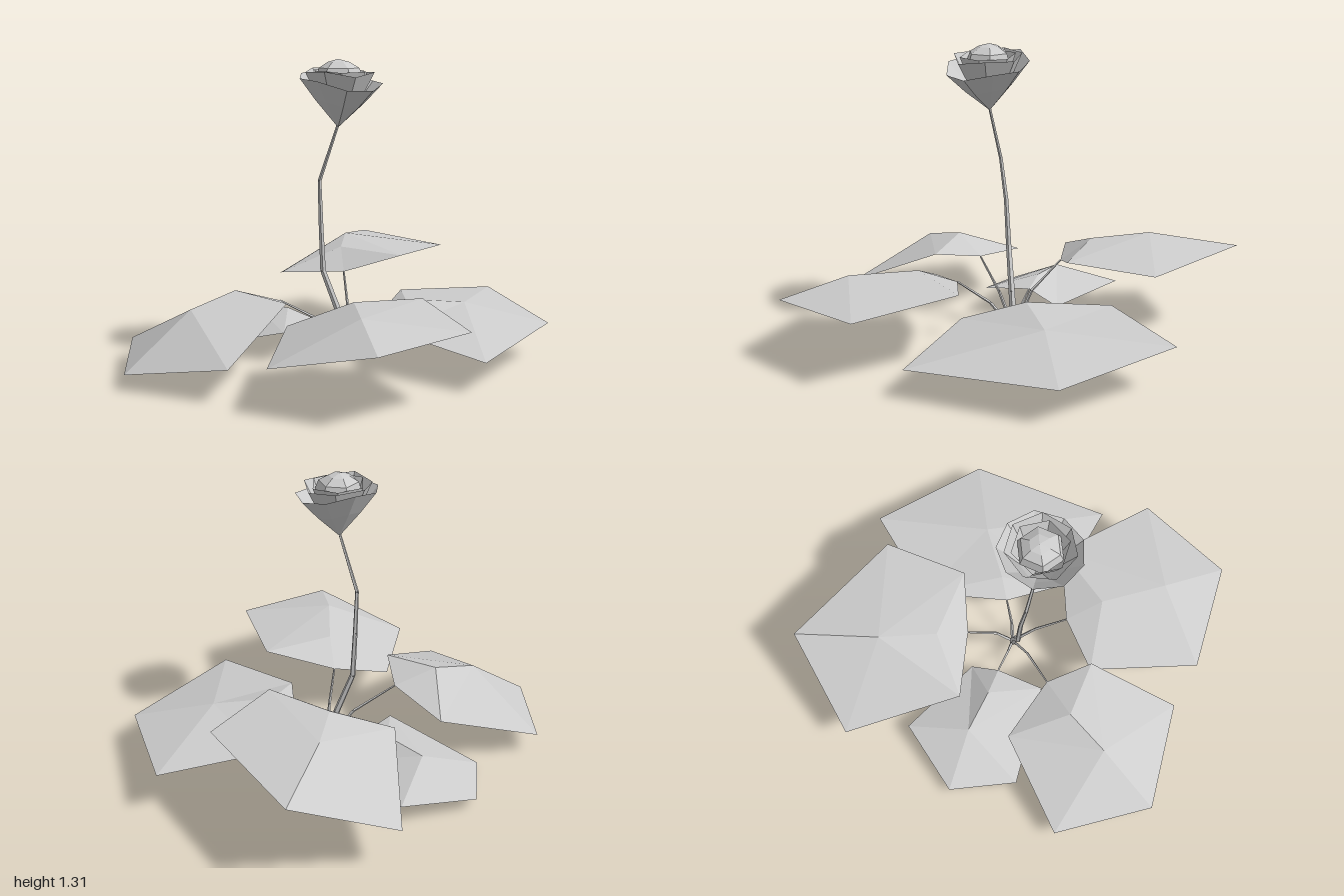
import * as THREE from 'three';

const grey = new THREE.MeshStandardMaterial({ color: 0xcccccc, flatShading: true, side: THREE.DoubleSide });
grey.name = 'plantGrey';

const v = (p) => new THREE.Vector3(...p);

function addMesh(parent, name, geometry) {
  const mesh = new THREE.Mesh(geometry, grey);
  mesh.name = name;
  parent.add(mesh);
  return mesh;
}

// Faceted leaf: outline is clockwise from above [tip, side, shoulder, stalk, shoulder, side];
// two ridge points (outer, inner) raise the middle.
const LEAF_FACES = [[6, 1, 0], [6, 2, 1], [6, 7, 2], [7, 3, 2], [7, 4, 3], [6, 4, 7], [6, 5, 4], [6, 0, 5]];
function leafGeometry(points) {
  const g = new THREE.BufferGeometry();
  g.setAttribute('position', new THREE.Float32BufferAttribute(LEAF_FACES.flat().flatMap((i) => points[i]), 3));
  g.computeVertexNormals();
  return g;
}

// Straight-segment stem with tapering radius
function addStem(parent, name, points, r0, r1, sides) {
  const stem = new THREE.Group();
  stem.name = name;
  parent.add(stem);
  const n = points.length - 1;
  for (let i = 0; i < n; i++) {
    const a = v(points[i]), b = v(points[i + 1]);
    const dir = b.clone().sub(a);
    const ra = r0 + (r1 - r0) * i / n, rb = r0 + (r1 - r0) * (i + 1) / n;
    const seg = addMesh(stem, name + 'Segment', new THREE.CylinderGeometry(rb, ra, dir.length(), sides, 1, true));
    seg.position.copy(a).add(b).multiplyScalar(0.5);
    seg.quaternion.setFromUnitVectors(new THREE.Vector3(0, 1, 0), dir.normalize());
  }
}

const LEAVES = {
  backLeaf: [[0.07, 0.40, -1.0], [0.45, 0.41, -0.54], [0.26, 0.42, -0.205], [0, 0.34, -0.22],
    [-0.29, 0.32, -0.29], [-0.36, 0.20, -0.825], [-0.01, 0.45, -0.62], [-0.02, 0.43, -0.36]],
  leftLeaf: [[0.91, 0.15, -0.07], [0.60, 0.125, 0.505], [0.23, 0.18, 0.24], [0.18, 0.21, -0.02],
    [0.26, 0.22, -0.40], [0.68, 0.20, -0.58], [0.54, 0.24, -0.07], [0.28, 0.26, -0.03]],
  frontLeaf: [[0.18, 0.28, 1.0], [-0.24, 0.18, 0.82], [-0.21, 0.22, 0.32], [0.03, 0.27, 0.24],
    [0.35, 0.33, 0.26], [0.53, 0.30, 0.70], [0.11, 0.35, 0.71], [0.07, 0.345, 0.41]],
  rightFrontLeaf: [[-0.85, 0.06, 0.52], [-0.915, 0.095, 0.06], [-0.48, 0.235, -0.095], [-0.26, 0.28, 0.11],
    [-0.21, 0.315, 0.32], [-0.405, 0.135, 0.69], [-0.61, 0.285, 0.32], [-0.44, 0.34, 0.19]],
  rightBackLeaf: [[-0.65, 0.05, -0.39], [-0.34, 0.10, -0.545], [-0.085, 0.085, -0.22], [-0.14, 0.155, -0.10],
    [-0.245, 0.13, 0.09], [-0.65, 0.02, -0.08], [-0.41, 0.17, -0.27], [-0.25, 0.185, -0.16]],
};

export function createModel() {
  const model = new THREE.Group();
  model.name = 'floweringPlant';

  // Leaves, each on a thin bent stalk from the foot of the stem
  for (const [name, points] of Object.entries(LEAVES)) {
    const leaf = new THREE.Group();
    leaf.name = name;
    addMesh(leaf, 'leafBlade', leafGeometry(points));
    const s = points[3];
    const bend = [0.04 + (s[0] - 0.04) * 0.4, s[1] * 0.62, s[2] * 0.4];
    addStem(leaf, 'leafStalk', [[0.037, 0.03, -0.01], bend, s], 0.009, 0.004, 4);
    model.add(leaf);
  }

  // Main stem
  addStem(model, 'stem', [[0.042, 0, -0.01], [-0.01, 0.2, -0.005], [-0.08, 0.39, 0],
    [-0.088, 0.6, 0.01], [-0.092, 0.79, 0.033], [-0.01, 1.035, 0.09]], 0.017, 0.006, 5);

  // Flower: nested cups around a closed bud, rims tilted and slightly uneven
  const flower = new THREE.Group();
  flower.name = 'flower';
  flower.position.set(-0.01, 1.03, 0.09);
  model.add(flower);
  const cup = (name, profile, sides, turn, lean, wave) => {
    const g = new THREE.LatheGeometry(profile.map((p) => new THREE.Vector2(...p)), sides, turn);
    const p = g.attributes.position;
    for (let i = 0; i < p.count; i++) {
      const x = p.getX(i), z = p.getZ(i), r = Math.hypot(x, z);
      const ripple = r * wave * Math.cos(3 * Math.atan2(z, x));
      p.setXYZ(i, x + r * 0.06, p.getY(i) - lean * (x + z) + ripple, z + r * 0.06);
    }
    g.computeVertexNormals();
    addMesh(flower, name, g);
  };
  cup('outerPetals', [[0.006, 0], [0.105, 0.105], [0.178, 0.193]], 9, 0.2, 0.14, 0.06);
  cup('middlePetals', [[0.006, 0.01], [0.09, 0.11], [0.148, 0.228]], 7, 0.5, 0.05, 0.06);
  cup('innerPetals', [[0.01, 0.06], [0.09, 0.15], [0.12, 0.232]], 6, 0.1, 0.03, 0.04);
  cup('bud', [[0.02, 0.1], [0.1, 0.2], [0.085, 0.243], [0.045, 0.268], [0, 0.28]], 6, 0.5, 0, 0);
  return model;
}
